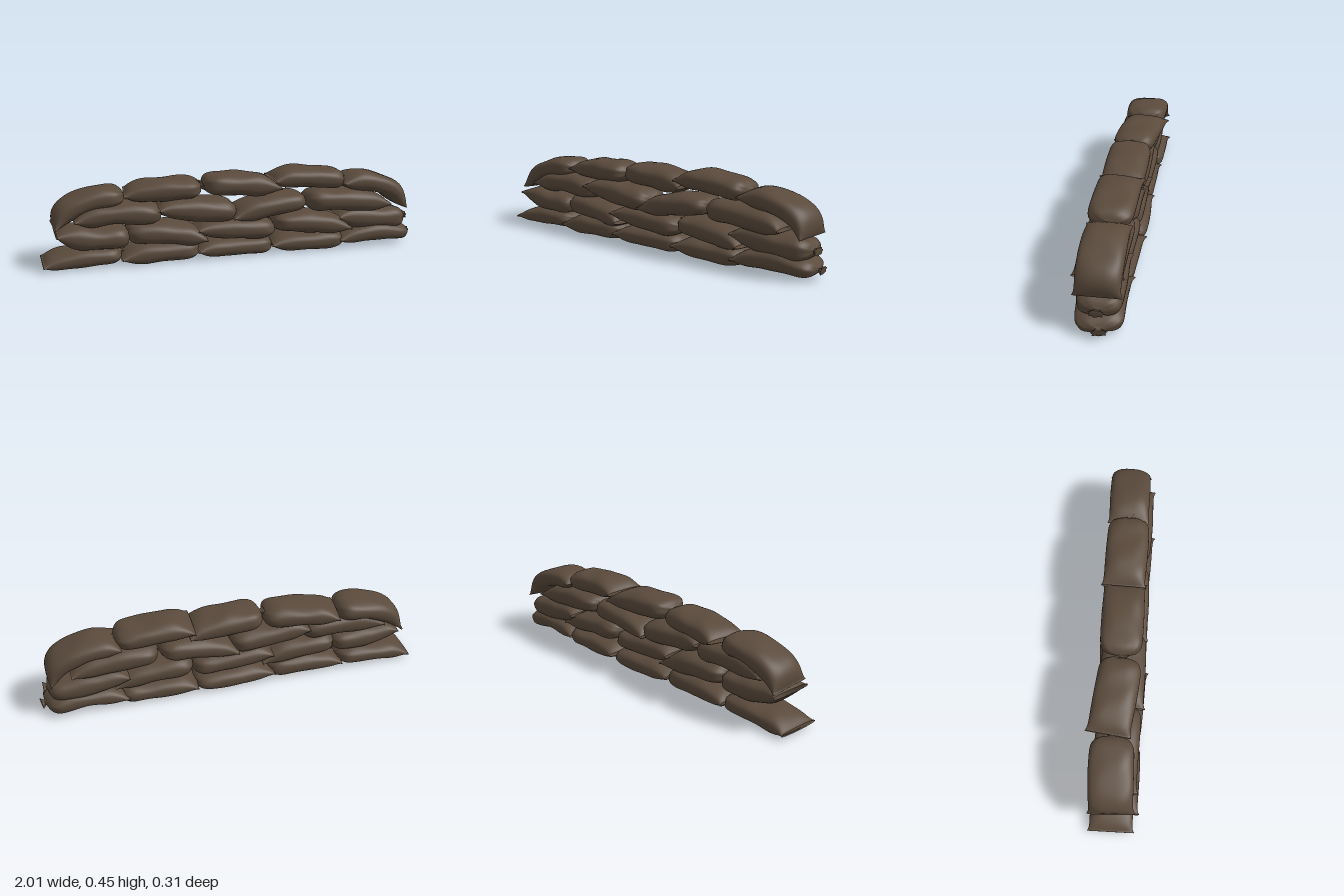
import * as THREE from 'three';

const SECTIONS = 44, SIDES = 40;

// One filled sack swept along a path. The first end is a flat sewn seam with
// pointed corners, the last end is gathered into a tied neck (or sewn as well).
function sackGeometry({ path, thick, width, sewn, seed }) {
  const curve = new THREE.CatmullRomCurve3(path.map((p) => new THREE.Vector3(...p)), false, 'centripetal');
  const positions = [], index = [];
  const power = (v, e) => Math.sign(v) * Math.abs(v) ** e;
  const bulge = (q, n, e) => (1 - (1 - THREE.MathUtils.clamp(q, 0, 1)) ** n) ** e;

  for (let i = 0; i <= SECTIONS; i++) {
    // sections crowd towards both ends
    const t = (1 - Math.cos((Math.PI * i) / SECTIONS)) / 2, v = 1 - t;
    const centre = curve.getPointAt(t), tangent = curve.getTangentAt(t);
    const side = new THREE.Vector3(0, 0, 1).addScaledVector(tangent, -tangent.z).normalize();
    const up = side.clone().cross(tangent);

    let w = width * (0.93 + 0.05 * Math.sin(Math.PI * t) + 0.12 * Math.exp(-t / 0.04));
    let h = thick * bulge(t / 0.32, 2.4, 0.75);
    if (sewn) {
      w += width * 0.1 * Math.exp(-v / 0.04);
      h *= bulge(v / 0.32, 2.4, 0.75);
    } else {
      const q = (v - 0.045) / 0.26;
      const flare = v < 0.045 ? 1 - v / 0.045 : 0;
      w = Math.max(w * bulge(q, 4, 0.42), 0.016 + 0.018 * flare);
      h = Math.max(h * bulge(q, 3, 0.5), 0.011 + 0.007 * flare);
      if (i === SECTIONS) w = h = 0;
    }

    for (let j = 0; j < SIDES; j++) {
      const a = (j / SIDES) * Math.PI * 2, c = Math.cos(a), s = Math.sin(a);
      // soft lumps of the filling and gathers around the neck
      const lump = 1 + 0.05 * Math.sin(9 * t + 2 * c + seed * 1.7) + 0.04 * Math.sin(15 * t - 3 * c + seed * 2.9);
      const gather = sewn ? 1 : 1 + 0.13 * Math.cos(7 * a + seed) * Math.exp(-v / 0.07);
      const p = centre.clone()
        .addScaledVector(side, w * power(c, 0.72) * gather)
        .addScaledVector(up, h * power(s, 0.78) * lump * gather);
      positions.push(p.x, Math.max(p.y, 0.003 * (1 - s)), p.z);
    }
  }
  for (let i = 0; i < SECTIONS; i++) {
    for (let j = 0; j < SIDES; j++) {
      const k = (j + 1) % SIDES;
      const a = i * SIDES + j, b = i * SIDES + k, c = a + SIDES, d = b + SIDES;
      index.push(a, b, c, b, d, c);
    }
  }
  const geometry = new THREE.BufferGeometry();
  geometry.setAttribute('position', new THREE.Float32BufferAttribute(positions, 3));
  geometry.setIndex(index);
  geometry.computeVertexNormals();
  return geometry;
}

export function createModel() {
  const group = new THREE.Group();
  const burlap = new THREE.MeshStandardMaterial({ name: 'brown burlap', color: 0x5a4a3c, side: THREE.DoubleSide });

  // Each sack: path from the sewn seam to the neck, half thickness, half width, sewn at both ends
  const rows = {
    bottomSack: [
      [[[-1, 0.03, 0.0], [-0.8, 0.052, 0.0], [-0.58, 0.055, 0.0]], 0.048, 0.115],
      [[[-0.61, 0.04, 0.01], [-0.4, 0.055, 0.01], [-0.18, 0.05, 0.01]], 0.054, 0.115],
      [[[-0.22, 0.05, 0.01], [0, 0.05, 0.0], [0.22, 0.045, 0.0]], 0.05, 0.118],
      [[[0.19, 0.05, 0.0], [0.4, 0.05, 0.01], [0.62, 0.05, 0.01]], 0.051, 0.118],
      [[[0.56, 0.05, 0.01], [0.78, 0.075, 0.01], [0.93, 0.06, 0.0], [1, 0.05, -0.01]], 0.05, 0.118],
    ],
    secondSack: [
      [[[-0.93, 0.185, 0.02], [-0.76, 0.152, 0.02], [-0.54, 0.15, 0.02]], 0.058, 0.115],
      [[[-0.17, 0.115, 0.03], [-0.36, 0.152, 0.02], [-0.6, 0.165, 0.01]], 0.058, 0.118],
      [[[-0.22, 0.165, 0.02], [0.0, 0.15, 0.02], [0.23, 0.135, 0.02]], 0.055, 0.118],
      [[[0.62, 0.12, 0.03], [0.4, 0.155, 0.02], [0.18, 0.165, 0.01]], 0.056, 0.118],
      [[[0.55, 0.175, 0.01], [0.78, 0.15, 0.005], [0.98, 0.14, 0.005]], 0.06, 0.11],
    ],
    thirdSack: [
      [[[-0.84, 0.25, 0.01], [-0.62, 0.27, 0.01], [-0.37, 0.25, 0.02]], 0.058, 0.115],
      [[[-0.42, 0.285, 0.02], [-0.2, 0.262, 0.02], [0.02, 0.24, 0.02]], 0.06, 0.118],
      [[[-0.03, 0.215, 0.02], [0.18, 0.258, 0.02], [0.4, 0.275, 0.01]], 0.056, 0.118],
      [[[0.84, 0.235, 0.02], [0.6, 0.262, 0.02], [0.36, 0.27, 0.01]], 0.06, 0.118],
    ],
    topSack: [
      [[[-0.935, 0.215, 0.0], [-0.87, 0.29, -0.005], [-0.74, 0.342, -0.01], [-0.56, 0.35, -0.01]], 0.054, 0.115],
      [[[-0.575, 0.355, -0.035], [-0.38, 0.368, -0.01], [-0.16, 0.372, 0.015]], 0.055, 0.112],
      [[[0.23, 0.355, 0.005], [0.03, 0.376, 0.005], [-0.19, 0.385, 0.005]], 0.058, 0.112],
      [[[0.2, 0.39, 0.0], [0.34, 0.395, 0.005], [0.62, 0.37, 0.01]], 0.054, 0.113],
      [[[0.945, 0.205, 0.005], [0.89, 0.29, 0.005], [0.75, 0.348, 0.005], [0.58, 0.355, 0.005]], 0.053, 0.11, true],
    ],
  };

  let seed = 1;
  for (const [name, sacks] of Object.entries(rows)) {
    sacks.forEach(([path, thick, width, sewn = false], i) => {
      const mesh = new THREE.Mesh(sackGeometry({ path, thick, width, sewn, seed: seed++ }), burlap);
      mesh.name = `${name}${i + 1}`;
      group.add(mesh);
    });
  }
  return group;
}
